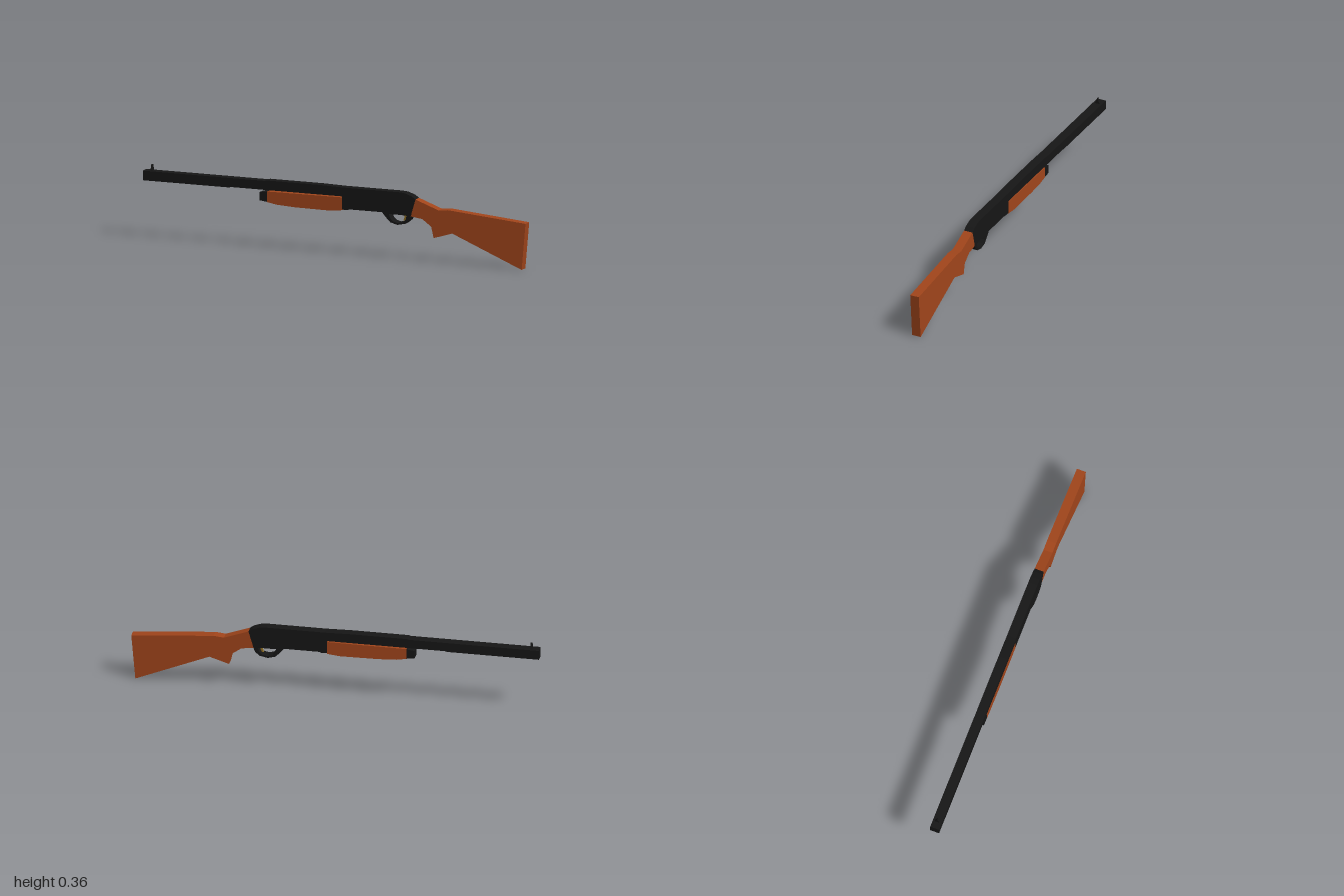
import * as THREE from 'three';

const WIDTH = 0.046;
const material = (color) => new THREE.MeshStandardMaterial({ color, flatShading: true });

// Slab cut from a side outline, centred on z = 0
function slab(name, points, mat, width = WIDTH, hole) {
  const shape = new THREE.Shape(points.map(([x, y]) => new THREE.Vector2(x, y)));
  if (hole) shape.holes.push(new THREE.Path(hole.map(([x, y]) => new THREE.Vector2(x, y))));
  const geometry = new THREE.ExtrudeGeometry(shape, { depth: width, bevelEnabled: false });
  geometry.translate(0, 0, -width / 2);
  const mesh = new THREE.Mesh(geometry, mat);
  mesh.name = name;
  return mesh;
}

export function createModel() {
  const model = new THREE.Group();
  model.name = 'shotgun';
  const steel = material(0x161616);
  const wood = material(0xa1451b);
  const brass = material(0x8a6a20);

  // Barrel, slightly deeper towards the muzzle
  model.add(slab('barrel', [
    [-1, 0.284], [-0.55, 0.284], [-0.54, 0.287], [0.05, 0.287],
    [0.05, 0.331], [-0.07, 0.334], [-0.355, 0.334], [-0.36, 0.331], [-1, 0.331],
  ], steel));

  // Receiver with sloping rear shoulder
  model.add(slab('receiver', [
    [0.04, 0.222], [0.07, 0.222], [0.075, 0.226], [0.25, 0.226], [0.40, 0.217],
    [0.425, 0.302], [0.405, 0.316], [0.37, 0.328], [0.34, 0.331], [0.04, 0.331],
  ], steel));

  // Sliding fore-end and its front cap
  model.add(slab('foreEnd', [
    [-0.35, 0.228], [-0.30, 0.219], [-0.21, 0.214], [-0.02, 0.212],
    [0.04, 0.219], [0.04, 0.282], [-0.35, 0.28],
  ], wood));
  model.add(slab('foreEndCap', [
    [-0.39, 0.234], [-0.35, 0.229], [-0.35, 0.279], [-0.39, 0.274],
  ], steel));

  // Trigger guard loop
  model.add(slab('triggerGuard', [
    [0.25, 0.227], [0.265, 0.208], [0.293, 0.18], [0.33, 0.17], [0.37, 0.178],
    [0.392, 0.196], [0.405, 0.227],
  ], steel, WIDTH, [
    [0.285, 0.22], [0.293, 0.2], [0.307, 0.186], [0.33, 0.179], [0.36, 0.185],
    [0.375, 0.2], [0.378, 0.22],
  ]));

  // Trigger
  model.add(slab('trigger', [
    [0.358, 0.225], [0.36, 0.205], [0.354, 0.19], [0.361, 0.19], [0.369, 0.205], [0.37, 0.225],
  ], brass, 0.012));

  // Shoulder stock with pistol grip
  model.add(slab('stock', [
    [0.40, 0.217], [0.46, 0.209], [0.507, 0.175], [0.52, 0.12], [0.617, 0.15],
    [0.98, 0], [1, 0.228], [0.596, 0.263], [0.545, 0.258], [0.425, 0.302],
  ], wood));

  // Triangular front sight, turned to face along the barrel
  const sight = slab('frontSight', [[-0.013, 0.329], [0.013, 0.329], [0, 0.362]], steel, 0.01);
  sight.rotation.y = Math.PI / 2;
  sight.position.x = -0.96;
  model.add(sight);

  return model;
}
